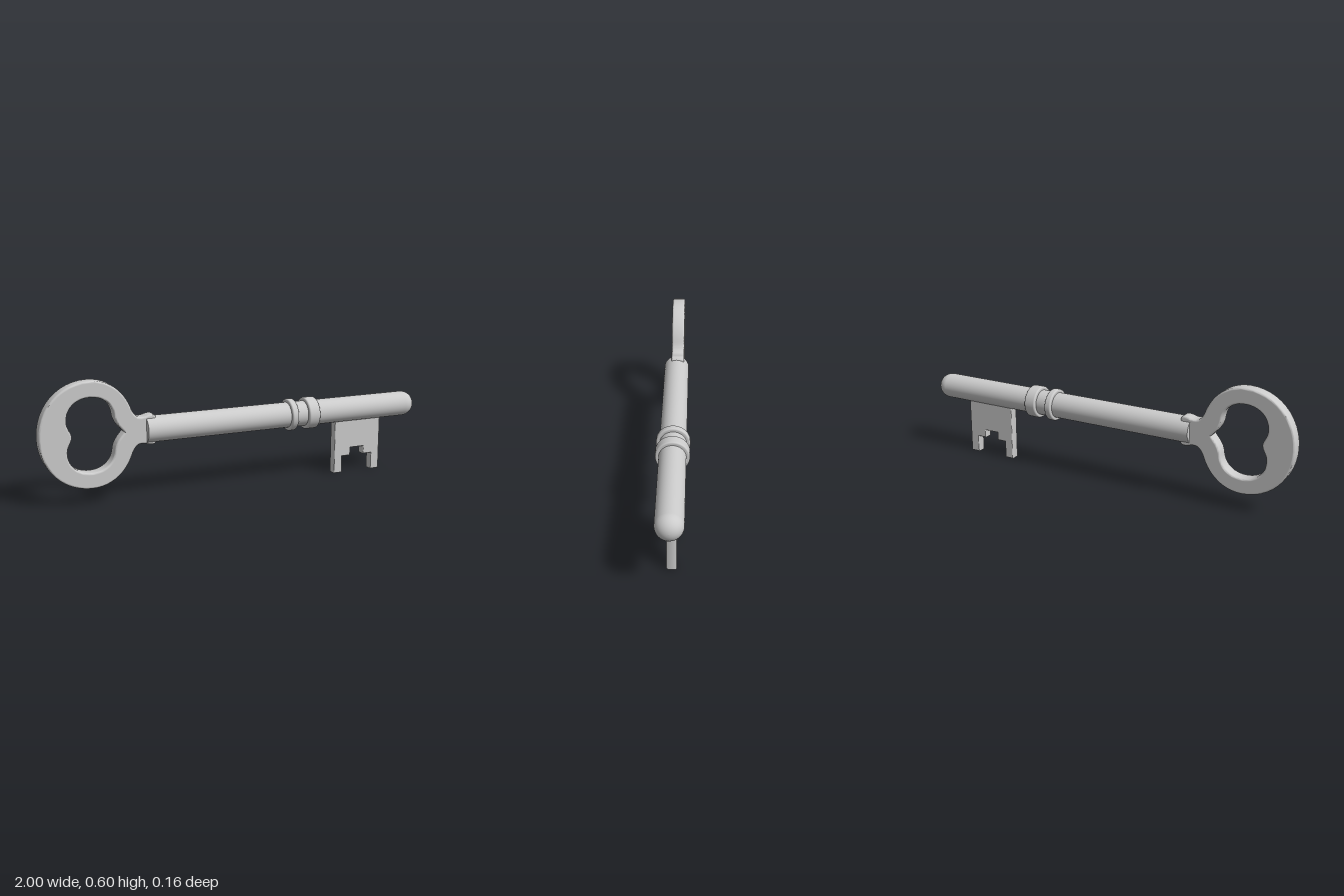
import * as THREE from 'three';
import { toCreasedNormals } from 'three/addons/utils/BufferGeometryUtils.js';

const AXIS_Y = 0.337;

export function createModel() {
  const key = new THREE.Group();
  key.name = 'key';
  const material = new THREE.MeshStandardMaterial({ color: 0xcccccc });

  const add = (name, geometry) => {
    const mesh = new THREE.Mesh(geometry, material);
    mesh.name = name;
    key.add(mesh);
    return mesh;
  };

  // Plate with rounded edges between two z values, its two faces shaded flat
  const plate = (shape, zMin, zMax, bevel) => {
    const geometry = toCreasedNormals(new THREE.ExtrudeGeometry(shape, {
      depth: zMax - zMin - 2 * bevel,
      bevelThickness: bevel, bevelSize: bevel, bevelOffset: -bevel, bevelSegments: 4,
    }).translate(0, 0, zMin + bevel), 0.7);
    const { position, normal } = geometry.attributes;
    for (let i = 0; i < position.count; i++) {
      const z = position.getZ(i);
      if (z > zMax - 1e-4) normal.setXYZ(i, 0, 0, 1);
      else if (z < zMin + 1e-4) normal.setXYZ(i, 0, 0, -1);
    }
    return geometry;
  };

  // Solid of revolution along x, from [x, radius] pairs; a doubled point is a sharp edge
  const turned = (profile) =>
    new THREE.LatheGeometry(profile.map(([x, r]) => new THREE.Vector2(r, x)), 48)
      .rotateZ(-Math.PI / 2).translate(0, AXIS_Y, 0);

  // Closed counter-clockwise outline from its upper half (given left to right)
  const mirrored = (upper, Type) => {
    const lower = upper.filter((p) => p.y > 1e-4).map((p) => new THREE.Vector2(p.x, -p.y));
    return new Type([...lower, ...upper.slice().reverse()]);
  };

  // Bow: round outer edge flowing into a short neck tab, heart-shaped hole
  const outer = new THREE.Path();
  outer.moveTo(-1, 0);
  outer.bezierCurveTo(-1, 0.143, -0.895, 0.257, -0.755, 0.257);
  outer.bezierCurveTo(-0.655, 0.257, -0.59, 0.19, -0.562, 0.118);
  outer.bezierCurveTo(-0.55, 0.085, -0.535, 0.064, -0.51, 0.064);
  outer.bezierCurveTo(-0.49, 0.064, -0.48, 0.073, -0.46, 0.073);
  outer.quadraticCurveTo(-0.438, 0.073, -0.438, 0.055);
  const hole = new THREE.Path();
  hole.moveTo(-0.845, 0);
  hole.bezierCurveTo(-0.85, 0.03, -0.869, 0.04, -0.869, 0.075);
  hole.bezierCurveTo(-0.869, 0.14, -0.82, 0.18, -0.755, 0.18);
  hole.bezierCurveTo(-0.69, 0.18, -0.648, 0.14, -0.643, 0.085);
  hole.bezierCurveTo(-0.637, 0.045, -0.615, 0.025, -0.594, 0);
  const bowShape = mirrored(outer.getPoints(12), THREE.Shape);
  bowShape.holes.push(mirrored(hole.getPoints(12), THREE.Path));
  add('bow', plate(bowShape, -0.039, 0.028, 0.01)).position.y = AXIS_Y + 0.002;

  // Shaft with a domed tip
  const R = 0.064;
  const shaft = [[-0.487, 0], [-0.487, R], [-0.487, R]];
  for (let i = 0; i <= 12; i++) {
    const a = (i / 12) * Math.PI / 2;
    shaft.push([1 - R + R * Math.sin(a), i === 12 ? 0 : R * Math.cos(a)]);
  }
  add('shaft', turned(shaft));

  // Two collars with softened rims
  for (const [name, x0, x1] of [['narrowCollar', 0.262, 0.297], ['wideCollar', 0.356, 0.417]]) {
    const c = 0.008, r = 0.081;
    const profile = [[x0, 0.05]];
    for (const [cx, start] of [[x0 + c, Math.PI], [x1 - c, Math.PI / 2]]) {
      for (let i = 0; i <= 4; i++) {
        const a = start - (i / 4) * Math.PI / 2;
        profile.push([cx + c * Math.cos(a), r - c + c * Math.sin(a)]);
      }
    }
    profile.push([x1, 0.05]);
    add(name, turned(profile));
  }

  // Bit with a stepped notch between two teeth
  const bitShape = new THREE.Shape([
    [0.535, 0.32], [0.535, 0], [0.581, 0], [0.581, 0.088], [0.629, 0.088], [0.629, 0.13],
    [0.706, 0.13], [0.706, 0.088], [0.754, 0.088], [0.754, 0], [0.802, 0], [0.802, 0.32],
  ].map(([x, y]) => new THREE.Vector2(x, y)));
  add('bit', plate(bitShape, -0.029, 0.018, 0.005));

  return key;
}
